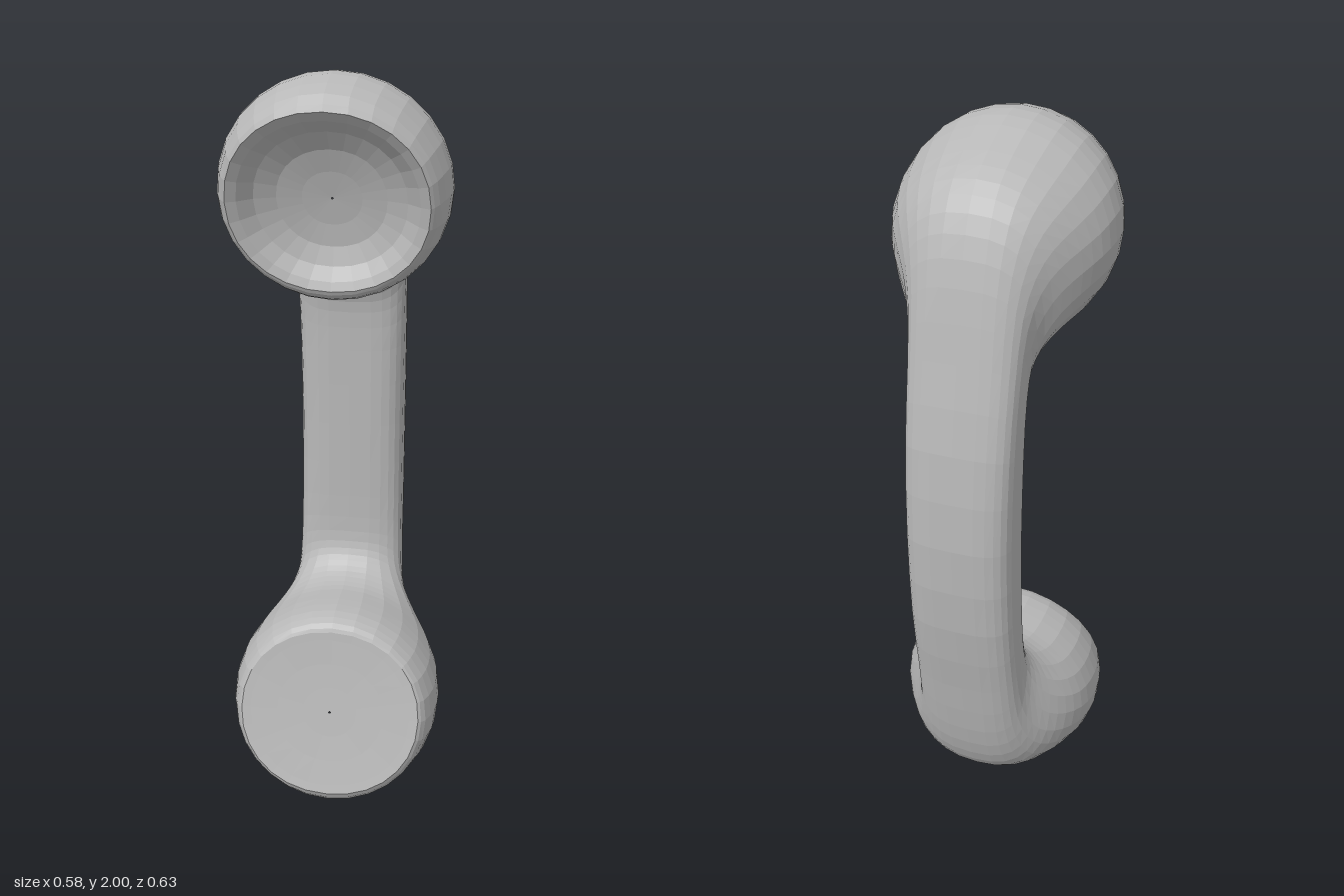
import * as THREE from 'three';

const SIDES = 28;

// Half of the handset: [inner y, inner z, outer y, outer z, half width, squareness]
const STATIONS = [
  [1.48, 0.200, 1.930, 0.312, 0.245, 2.1],
  [1.458, 0.185, 1.967, 0.285, 0.264, 2],
  [1.445, 0.140, 1.997, 0.185, 0.284, 2],
  [1.446, 0.070, 1.995, 0.100, 0.287, 2],
  [1.450, 0.010, 1.968, 0.010, 0.274, 2],
  [1.446, -0.030, 1.930, -0.080, 0.245, 2.1],
  [1.432, -0.065, 1.880, -0.145, 0.210, 2.3],
  [1.410, -0.090, 1.800, -0.190, 0.178, 2.6],
  [1.380, -0.108, 1.680, -0.225, 0.156, 2.9],
  [1.330, -0.118, 1.500, -0.260, 0.148, 3.2],
  [1.220, -0.121, 1.270, -0.302, 0.146, 3.3],
  [1.000, -0.122, 1.000, -0.320, 0.145, 3.3],
];

const mirrored = ([iy, iz, oy, oz, w, n]) => [2 - iy, iz, 2 - oy, oz, w, n];

// One closed cross-section; scale shrinks it, depth pushes it along -z
function ring([iy, iz, oy, oz, w, n], scale = 1, depth = 0) {
  const points = [];
  const bend = (t) => Math.sign(t) * Math.abs(t) ** (2 / n);
  for (let j = 0; j < SIDES; j++) {
    const a = (j / SIDES) * Math.PI * 2;
    const u = bend(Math.cos(a)) * w * scale;
    const v = (bend(Math.sin(a)) * scale) / 2;
    points.push([u, (iy + oy) / 2 + (oy - iy) * v, (iz + oz) / 2 + (oz - iz) * v - depth]);
  }
  return points;
}

// Skin a row of cross-sections
function loft(rings) {
  const index = [];
  for (let i = 0; i < rings.length - 1; i++) {
    for (let j = 0; j < SIDES; j++) {
      const a = i * SIDES + j;
      const b = i * SIDES + ((j + 1) % SIDES);
      index.push(a, a + SIDES, b, b, a + SIDES, b + SIDES);
    }
  }
  const geometry = new THREE.BufferGeometry();
  geometry.setAttribute('position', new THREE.Float32BufferAttribute(rings.flat(2), 3));
  geometry.setIndex(index);
  geometry.computeVertexNormals();
  return geometry;
}

// Add a smoothed station between each pair
function refine(list) {
  const out = [];
  list.forEach((s, i) => {
    out.push(s);
    if (i === list.length - 1) return;
    const e = list[i + 1];
    const p = list[Math.max(i - 1, 0)];
    const q = list[Math.min(i + 2, list.length - 1)];
    out.push(s.map((value, k) => (9 * (value + e[k]) - p[k] - q[k]) / 16));
  });
  return out;
}

export function createModel() {
  const group = new THREE.Group();
  const grey = new THREE.MeshStandardMaterial({ color: 0xb8b8b8, flatShading: true });
  grey.name = 'light grey plastic';

  const add = (name, rings) => {
    const mesh = new THREE.Mesh(loft(rings), grey);
    mesh.name = name;
    group.add(mesh);
  };

  // Handle and both cups in one continuous skin
  const lower = STATIONS.slice(0, -1).reverse().map(mirrored);
  add('handsetBody', refine([...STATIONS, ...lower]).map((s) => ring(s)));

  // Hollow earpiece, from its centre out to the rim
  const dish = [[0.01, 0.085], [0.3, 0.082], [0.55, 0.073], [0.76, 0.05], [0.9, 0.014], [1, 0]];
  add('earpieceDish', dish.map(([s, d]) => ring(STATIONS[0], s, d)));

  // Nearly flat mouthpiece, from the rim to its centre
  const face = [[1, 0], [0.9, 0.002], [0.6, 0.006], [0.3, 0.008], [0.01, 0.008]];
  add('mouthpieceFace', face.map(([s, d]) => ring(mirrored(STATIONS[0]), s, d)));

  return group;
}
